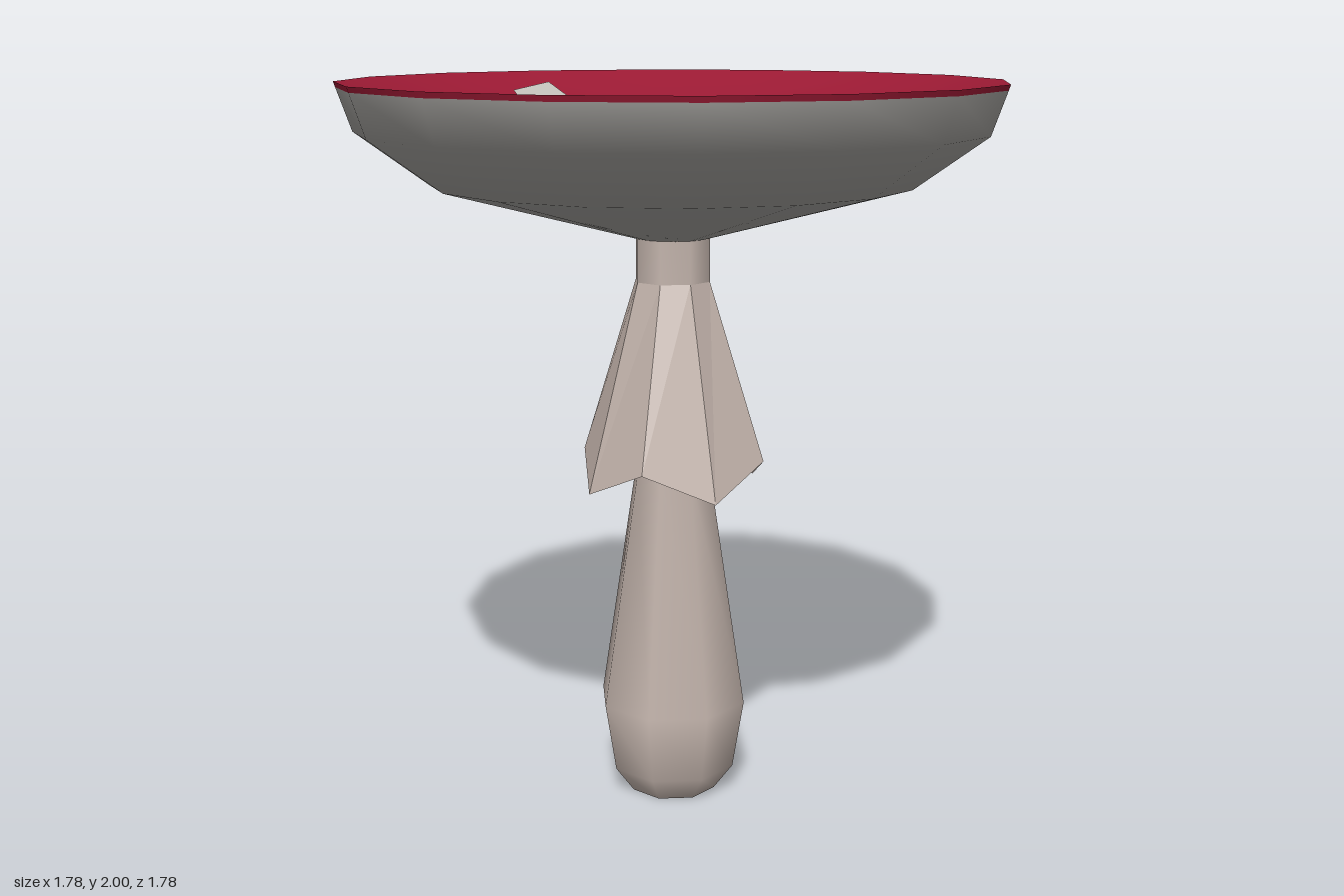
import * as THREE from 'three';

const RIM = 0.89, DEPTH = 0.145;
// Height of the hollow cap top at a given radius
const dishY = r => 2 - DEPTH * (1 - (r / RIM) ** 2);

function addMesh(parent, name, geometry, color, extra = {}) {
  const mesh = new THREE.Mesh(geometry, new THREE.MeshStandardMaterial({ color, ...extra }));
  mesh.name = name;
  parent.add(mesh);
  return mesh;
}

const lathe = (points, sides) =>
  new THREE.LatheGeometry(points.map(([r, y]) => new THREE.Vector2(r, y)), sides);

// Patch outlines on the cap top, as x, z pairs
const PATCHES = [
  [-.2, -.58, -.18, -.68, -.03, -.77, -.03, -.61, -.08, -.53, -.12, -.6],
  [-.56, -.11, -.48, -.34, -.34, -.38, -.31, -.31, -.24, -.38, -.19, -.29, -.23, -.12],
  [.04, -.3, .21, -.5, .38, -.47, .44, -.3, .38, -.14, .1, -.14],
  [.51, -.1, .53, -.19, .63, -.12, .59, -.03],
  [-.15, .02, -.08, -.06, .03, -.04, -.1, .05],
  [-.82, -.06, -.73, -.07, -.67, .12, -.78, .09],
  [-.13, .2, .16, .2, .21, .32, .13, .45, -.02, .47, -.13, .41],
  [-.49, .46, -.4, .37, -.26, .44, -.37, .55, -.45, .53],
  [.1, .67, .11, .57, .27, .49, .25, .59],
  [.46, .36, .6, .24, .64, .34, .58, .47, .53, .41],
];

function patchGeometry(flat) {
  const outline = [];
  for (let i = 0; i < flat.length; i += 2) outline.push(new THREE.Vector2(flat[i], -flat[i + 1]));
  const geo = new THREE.ShapeGeometry(new THREE.Shape(outline)).rotateX(-Math.PI / 2);
  const p = geo.attributes.position;
  // Drape the patch just above the hollow
  for (let i = 0; i < p.count; i++) p.setY(i, dishY(Math.hypot(p.getX(i), p.getZ(i))) + 0.007);
  geo.computeVertexNormals();
  return geo;
}

// Flared ring around the stem with a zigzag hem: long on the axes, short between them
function skirtGeometry() {
  const geo = new THREE.CylinderGeometry(0.105, 0.255, 0.575, 8, 1, true);
  const p = geo.attributes.position;
  for (let i = 0; i < p.count; i++) {
    if (p.getY(i) > 0) { p.setY(i, 1.47); continue; }
    const between = Math.min(Math.abs(p.getX(i)), Math.abs(p.getZ(i))) > 0.1;
    p.setY(i, between ? 0.98 : 0.895);
    if (between) {
      p.setX(i, Math.sign(p.getX(i)) * 0.185);
      p.setZ(i, Math.sign(p.getZ(i)) * 0.185);
    }
  }
  const faceted = geo.toNonIndexed();
  faceted.computeVertexNormals();
  return faceted;
}

export function createModel() {
  const model = new THREE.Group();
  model.name = 'mushroom';

  // Stem with a swollen foot
  const stem = new THREE.Group();
  stem.name = 'stem';
  model.add(stem);
  const stemColor = 0xc4b5ad;
  addMesh(stem, 'stalk', lathe([[.125, 0], [.18, .075], [.212, .27], [.108, .94], [.105, 1.6]], 8), stemColor);
  addMesh(stem, 'footBase',
    new THREE.CircleGeometry(0.125, 8).rotateX(Math.PI / 2), stemColor);
  addMesh(stem, 'skirt', skirtGeometry(), stemColor, { side: THREE.DoubleSide });

  // Cap: pale underside, thin red rim and hollow red top
  const cap = new THREE.Group();
  cap.name = 'cap';
  model.add(cap);
  addMesh(cap, 'capUnderside',
    lathe([[0, 1.58], [.105, 1.585], [.65, 1.73], [.845, 1.87], [.885, 1.985]], 16), 0xaeaca8);
  addMesh(cap, 'capRim', lathe([[.885, 1.985], [RIM, 2]], 16), 0x9c1a34);
  const top = [];
  for (let i = 0; i <= 8; i++) {
    const r = RIM * (1 - i / 8);
    top.push([r, dishY(r)]);
  }
  addMesh(cap, 'capTop', lathe(top, 16), 0x9c1a34);

  // Pale patches scattered over the top
  const patches = new THREE.Group();
  patches.name = 'patches';
  cap.add(patches);
  PATCHES.forEach((flat, i) => addMesh(patches, `patch${i + 1}`, patchGeometry(flat), 0xc4c2bc));

  return model;
}
